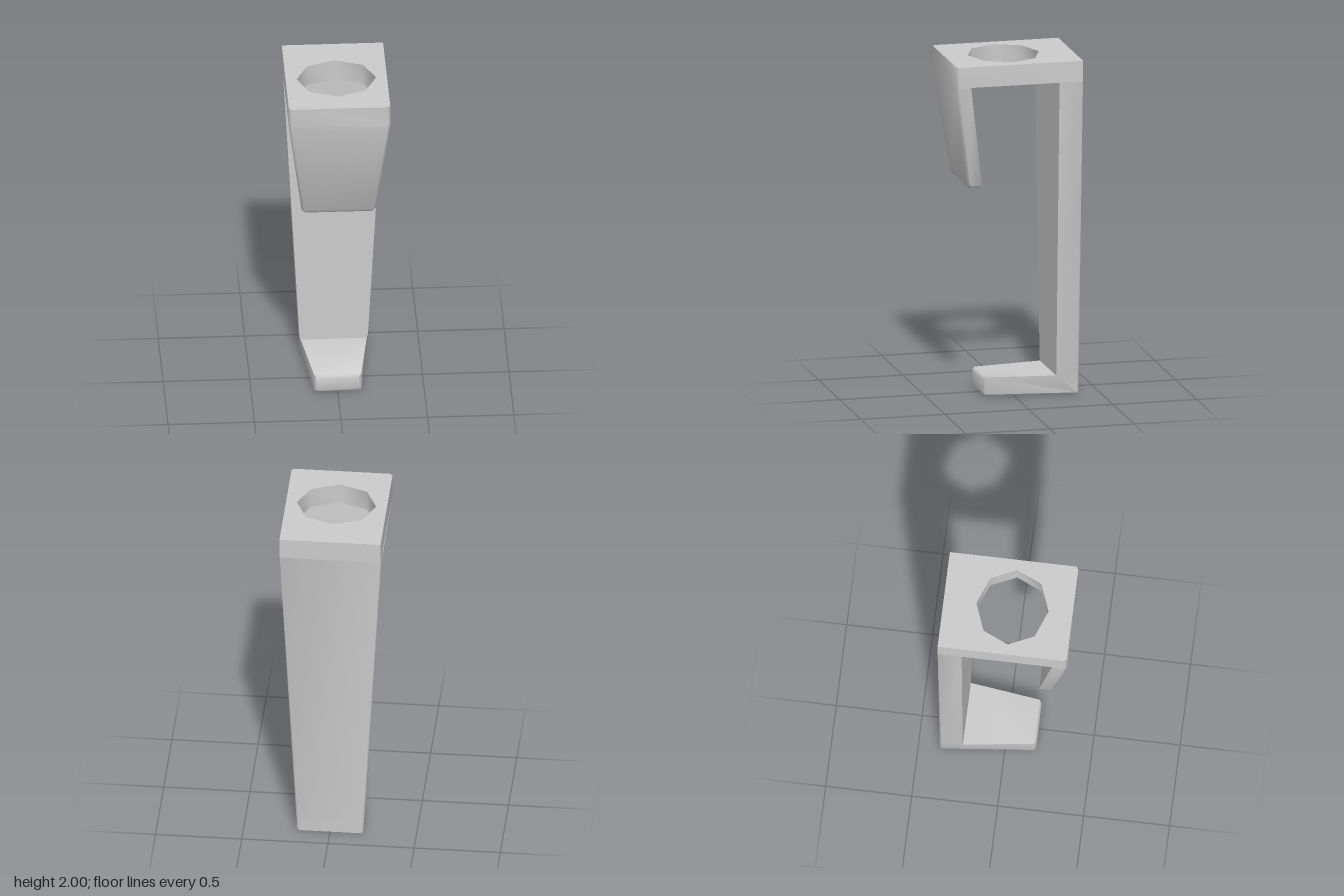
import * as THREE from 'three';
import { toCreasedNormals } from 'three/addons/utils/BufferGeometryUtils.js';

const material = new THREE.MeshStandardMaterial({ color: 0xcccccc });

function addPart(group, name, geometry) {
  const mesh = new THREE.Mesh(toCreasedNormals(geometry, 0.9), material);
  mesh.name = name;
  group.add(mesh);
}

// Cross-section between an inner and an outer [y, z] point, of half width w,
// with the two outer corners chamfered by c.
function ring({ inner, outer, w, c }) {
  const i = new THREE.Vector2(...inner), o = new THREE.Vector2(...outer);
  const s = o.clone().add(i.clone().sub(o).setLength(c));
  return [[c - w, o], [w - c, o], [w, s], [w, i], [-w, i], [-w, s]]
    .map(([x, p]) => [x, p.x, p.y]);
}

// Skin over a row of cross-sections, closed at one end only;
// the other end is buried in the top plate.
function loft(stations, capStart) {
  const rings = stations.map(ring), n = rings[0].length, index = [];
  for (let r = 0; r < rings.length - 1; r++) {
    for (let k = 0; k < n; k++) {
      const a = r * n + k, b = r * n + (k + 1) % n;
      index.push(a, b, b + n, a, b + n, a + n);
    }
  }
  const last = (rings.length - 1) * n;
  for (let k = 1; k < n - 1; k++) {
    if (capStart) index.push(0, k + 1, k);
    else index.push(last, last + k, last + k + 1);
  }
  const g = new THREE.BufferGeometry();
  g.setAttribute('position', new THREE.Float32BufferAttribute(rings.flat(2), 3));
  g.setIndex(index);
  return g;
}

export function createModel() {
  const group = new THREE.Group();
  const W = 0.293, D = 0.375, C = 0.015;

  // Top plate with an eight-sided hole; shape y becomes z
  const plate = new THREE.Shape([
    [-W, -D], [W, -D], [W, D - C], [W - C, D], [C - W, D], [-W, D - C],
  ].map(p => new THREE.Vector2(...p)));
  const hole = [];
  for (let k = 0; k < 8; k++) {
    const a = k * Math.PI / 4;
    hole.push(new THREE.Vector2(0.23 * Math.cos(a), 0.025 + 0.21 * Math.sin(a)));
  }
  plate.holes.push(new THREE.Path(hole));
  const plateGeometry = new THREE.ExtrudeGeometry(plate, { depth: 0.123, bevelEnabled: false });
  plateGeometry.rotateX(Math.PI / 2).translate(0, 2, 0);
  addPart(group, 'topPlate', plateGeometry);

  // Tapered front lip leaning inward, from its tip up to the plate
  addPart(group, 'frontLip', loft([
    { inner: [1.26, 0.215], outer: [1.26, 0.282], w: 0.203, c: C },
    { inner: [1.275, 0.207], outer: [1.28, 0.294], w: 0.216, c: C },
    { inner: [1.85, 0.287], outer: [1.85, D], w: 0.29, c: C },
    { inner: [1.88, 0.291], outer: [1.88, D], w: W, c: C },
  ], true));

  // Tapered back column turning forward into the foot
  addPart(group, 'backColumnAndFoot', loft([
    { inner: [1.88, -0.235], outer: [1.88, -D], w: W, c: 0.002 },
    { inner: [0.14, -0.24], outer: [0.11, -D], w: 0.198, c: 0.01 },
    { inner: [0.115, -0.24], outer: [0, -D], w: 0.191, c: 0.012 },
    { inner: [0.115, 0.165], outer: [0, 0.165], w: 0.137, c: 0.012 },
    { inner: [0.1, 0.18], outer: [0.015, 0.18], w: 0.122, c: 0.012 },
  ], false));

  return group;
}
